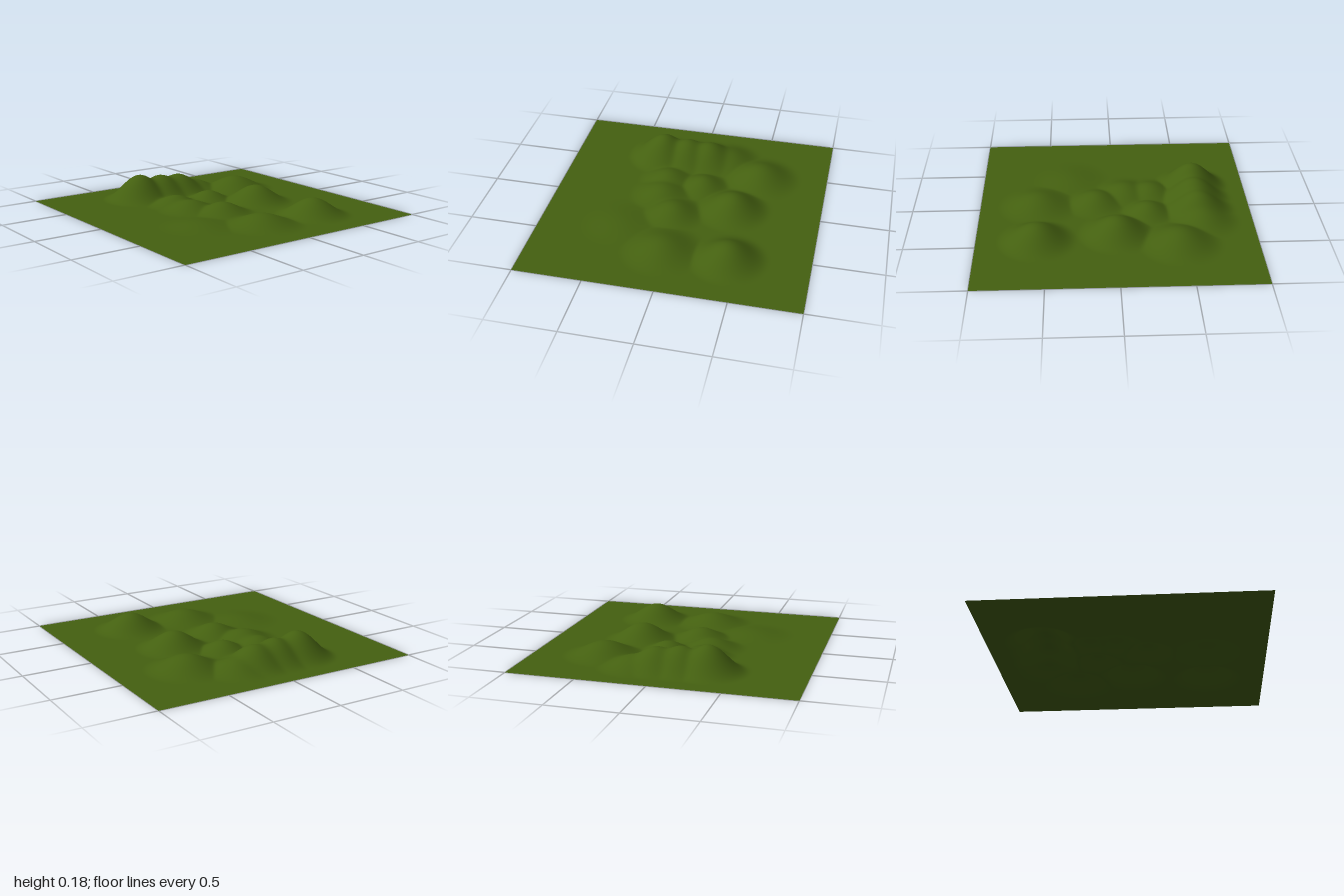
import * as THREE from 'three';

// Each hill: centre x, centre z, height, radius
const HILLS = [
  [-0.31, -0.6, 0.185, 0.29],   // back ridge
  [-0.12, -0.6, 0.16, 0.29],
  [0.05, -0.61, 0.145, 0.29],
  [0.2, -0.63, 0.08, 0.28],
  [0.49, -0.44, 0.1, 0.31],     // back left hill
  [0.35, 0, 0.125, 0.29],       // middle left hill
  [0.42, 0.57, 0.125, 0.29],    // front left hill
  [-0.05, 0.57, 0.08, 0.31],    // front hill
  [-0.07, 0.14, 0.08, 0.25],    // central mounds
  [-0.2, -0.08, 0.07, 0.26],
  [-0.2, -0.27, 0.07, 0.24],
  [0.08, -0.24, 0.075, 0.22],
  [-0.42, 0.34, 0.028, 0.31],   // low right swell
];

// Cosine bumps blended so that the taller hill dominates
function heightAt(x, z) {
  let sum = 0;
  for (const [cx, cz, h, r] of HILLS) {
    const d = Math.hypot(x - cx, z - cz) / r;
    if (d < 1) sum += Math.pow(h * 0.5 * (1 + Math.cos(Math.PI * d)), 6);
  }
  return Math.pow(sum, 1 / 6);
}

export function createModel() {
  const group = new THREE.Group();
  group.name = 'hillyTerrain';

  // Flat square sheet raised into hills
  const geometry = new THREE.PlaneGeometry(2, 2, 128, 128).rotateX(-Math.PI / 2);
  const pos = geometry.attributes.position;
  for (let i = 0; i < pos.count; i++) {
    pos.setY(i, heightAt(pos.getX(i), pos.getZ(i)));
  }
  geometry.computeVertexNormals();

  const material = new THREE.MeshStandardMaterial({ color: 0x446010, side: THREE.DoubleSide });
  const ground = new THREE.Mesh(geometry, material);
  ground.name = 'grassGround';
  group.add(ground);
  return group;
}
